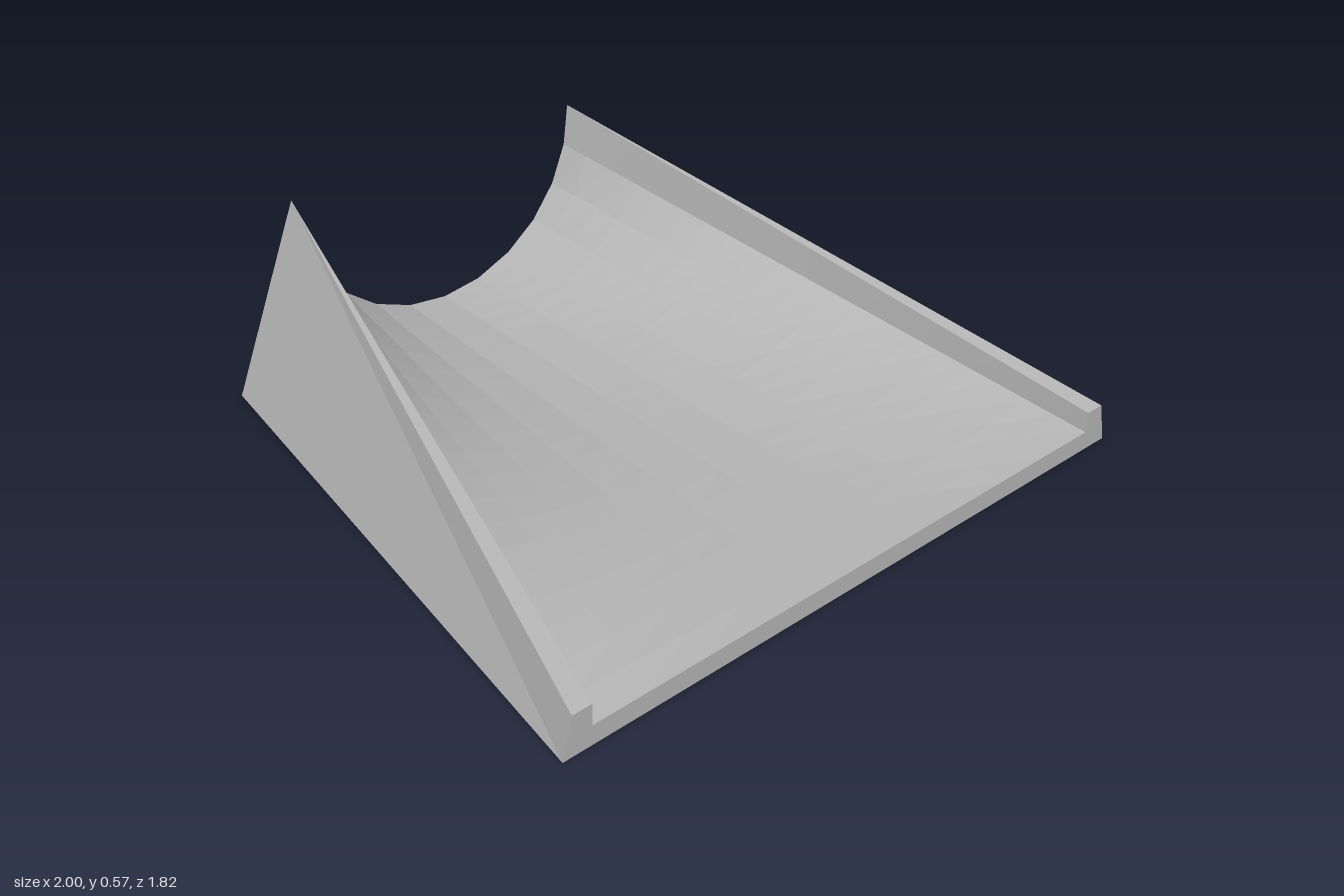
import * as THREE from 'three';

const HALF_DEPTH = 0.91;
const STEPS = 20; // slices along the channel

// Half profiles (x > 0), listed from the centre of the channel outwards
function halfProfiles() {
  const front = [], back = [];
  for (let i = 0; i <= 5; i++) {
    const a = Math.PI / 2 - i * Math.PI / 12;
    front.push([0.91 * i / 5, 0.06]);
    back.push([0.515 * Math.cos(a), 0.572 - 0.512 * Math.sin(a)]);
  }
  front.push([0.91, 0.125], [0.97, 0.125], [1, 0]);
  back.push([0.515, 0.572], [0.515, 0.572], [0.75, 0]);
  return { front, back };
}

// Full profile from left edge to right edge
const mirrored = half => [
  ...half.slice(1).reverse().map(([x, y]) => [-x, y]),
  ...half,
];

// Ruled strip between edge i of the front profile and edge i of the back one
function strip(front, back, i, steps) {
  const n = front.length, j = (i + 1) % n, out = [];
  const at = (k, t) => [
    THREE.MathUtils.lerp(front[k][0], back[k][0], t),
    THREE.MathUtils.lerp(front[k][1], back[k][1], t),
    THREE.MathUtils.lerp(HALF_DEPTH, -HALF_DEPTH, t),
  ];
  for (let s = 0; s < steps; s++) {
    const t = s / steps, u = (s + 1) / steps;
    const a = at(i, t), b = at(j, t), c = at(j, u), d = at(i, u);
    // The diagonal starts at the outer front corner, the same on both sides
    if (front[i][0] + front[j][0] > 0) out.push(...a, ...b, ...d, ...b, ...c, ...d);
    else out.push(...a, ...b, ...c, ...a, ...c, ...d);
  }
  return out;
}

function surface(positions) {
  const g = new THREE.BufferGeometry();
  g.setAttribute('position', new THREE.Float32BufferAttribute(positions, 3));
  g.computeVertexNormals(); // unshared corners give flat facets
  return g;
}

function cap(profile) {
  return new THREE.ShapeGeometry(new THREE.Shape(profile.map(p => new THREE.Vector2(...p))));
}

export function createModel() {
  const group = new THREE.Group();
  group.name = 'taperedChute';
  const grey = new THREE.MeshStandardMaterial({ color: 0xb4b4b4 });
  grey.name = 'grey';
  const add = (name, geometry) => {
    const mesh = new THREE.Mesh(geometry, grey);
    mesh.name = name;
    group.add(mesh);
    return mesh;
  };

  const half = halfProfiles();
  const front = mirrored(half.front), back = mirrored(half.back);
  const last = front.length - 1;
  const range = (from, to, steps) => {
    const pos = [];
    for (let i = from; i < to; i++) pos.push(...strip(front, back, i, steps));
    return surface(pos);
  };

  // Outer walls and the narrowing rims on top of them
  add('rightOuterWall', range(0, 1, 1));
  add('rightRim', range(1, 2, 1));
  add('leftRim', range(last - 2, last - 1, 1));
  add('leftOuterWall', range(last - 1, last, 1));

  // Inner walls and the floor that curls from flat to half round
  add('rightInnerWall', range(2, 3, STEPS));
  add('channelFloor', range(3, last - 3, STEPS));
  add('leftInnerWall', range(last - 3, last - 2, STEPS));

  // Underside and end faces
  add('underside', range(last, last + 1, 1));
  add('frontFace', cap(front)).position.z = HALF_DEPTH;
  const rear = add('backFace', cap(back.filter((p, i) => i !== 1 && i !== last - 1)));
  rear.position.z = -HALF_DEPTH;
  rear.rotation.y = Math.PI;
  return group;
}
